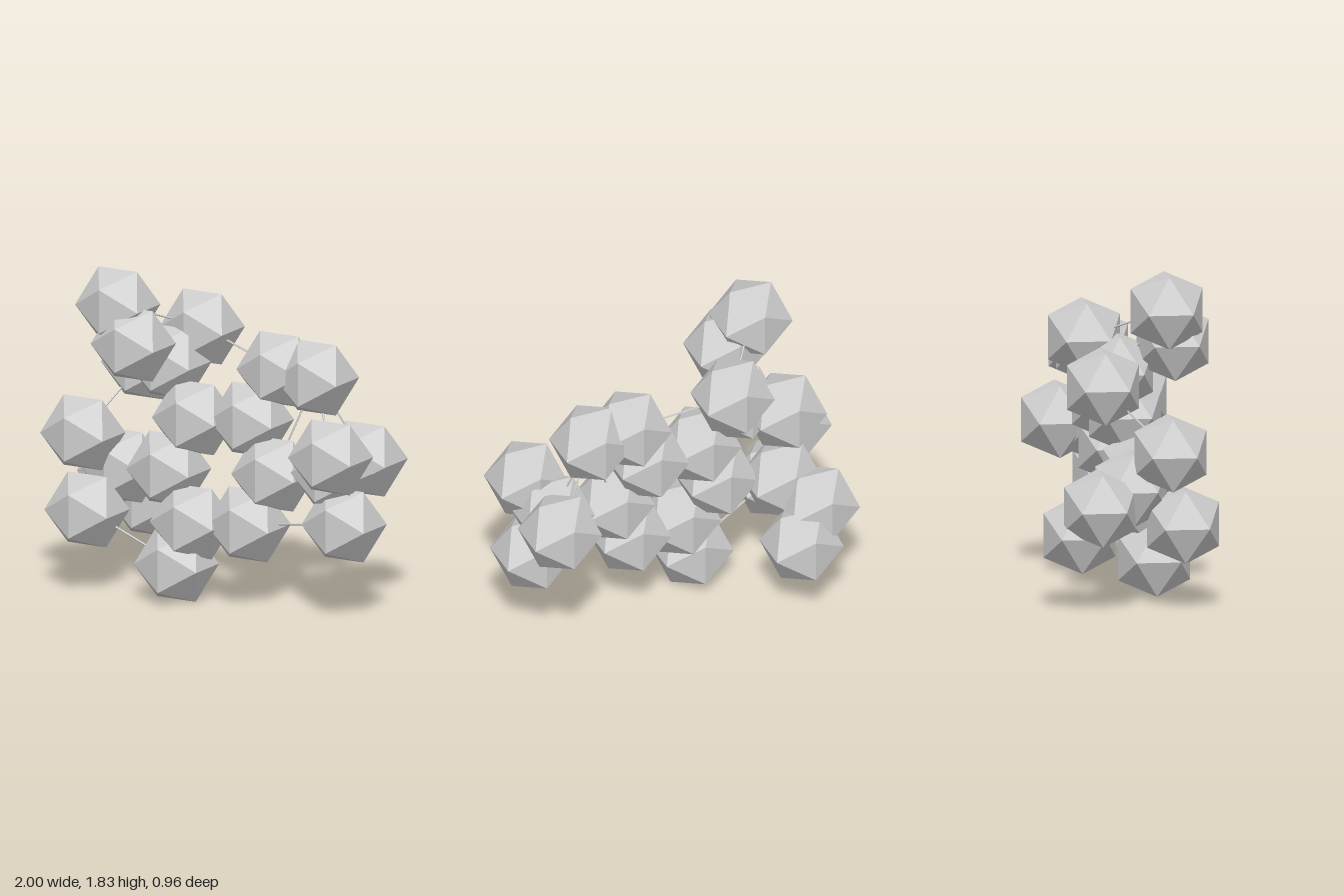
import * as THREE from 'three';

// Node centres of the cluster
const NODES = [
  [-0.57, 1.63, 0.21],   // 0 top
  [-0.28, 1.45, -0.21],  // 1
  [-0.44, 1.435, 0.26],  // 2
  [-0.39, 1.275, -0.04], // 3
  [-0.62, 1.22, -0.15],  // 4
  [-0.80, 0.87, 0.20],   // 5
  [-0.185, 1.0, 0.03],   // 6
  [0.15, 1.02, -0.02],   // 7
  [0.285, 1.31, -0.09],  // 8
  [0.52, 1.29, -0.10],   // 9
  [0.785, 0.935, 0.19],  // 10
  [0.76, 0.835, -0.22],  // 11
  [0.70, 0.80, 0.02],    // 12
  [0.80, 0.53, 0.07],    // 13
  [0.33, 0.75, 0.04],    // 14
  [0.205, 0.46, 0.105],  // 15
  [-0.12, 0.445, 0.16],  // 16
  [-0.205, 0.20, 0.19],  // 17 bottom
  [-0.315, 0.705, 0.09], // 18
  [-0.725, 0.46, 0.28],  // 19
  [-0.66, 0.405, -0.285],// 20
  [-0.80, 0.57, -0.19],  // 21
  [-0.665, 0.66, 0.0],   // 22
].map((p) => new THREE.Vector3(...p));

// Pairs of nodes joined by thin rods
const LINKS = [
  [0, 3], [0, 1], [2, 3], [1, 3], [4, 3], [3, 6], [1, 8], [8, 9], [6, 7], [7, 8],
  [9, 14], [9, 12], [9, 11], [10, 12], [11, 12], [12, 13], [13, 15], [14, 12],
  [14, 15], [7, 14], [15, 16], [16, 17], [17, 19], [16, 18], [18, 6], [18, 22],
  [22, 19], [22, 20], [22, 21], [22, 5], [4, 5],
];

const NODE_RADIUS = 0.235; // 0.2 half-extent along each axis
const ROD_RADIUS = 0.006;

export function createModel() {
  const model = new THREE.Group();
  model.name = 'nodeCluster';
  const material = new THREE.MeshStandardMaterial({ color: 0xcccccc, flatShading: true });

  // Faceted balls, all in the same orientation
  const ballGeometry = new THREE.IcosahedronGeometry(NODE_RADIUS, 0);
  NODES.forEach((centre, i) => {
    const ball = new THREE.Mesh(ballGeometry, material);
    ball.name = `ball${i + 1}`;
    ball.position.copy(centre);
    model.add(ball);
  });

  // Thin connecting rods from centre to centre
  const rodGeometry = new THREE.CylinderGeometry(ROD_RADIUS, ROD_RADIUS, 1, 5);
  const up = new THREE.Vector3(0, 1, 0);
  LINKS.forEach(([a, b], i) => {
    const span = NODES[b].clone().sub(NODES[a]);
    const rod = new THREE.Mesh(rodGeometry, material);
    rod.name = `rod${i + 1}`;
    rod.position.copy(NODES[a]).addScaledVector(span, 0.5);
    rod.scale.y = span.length();
    rod.quaternion.setFromUnitVectors(up, span.normalize());
    model.add(rod);
  });

  return model;
}
